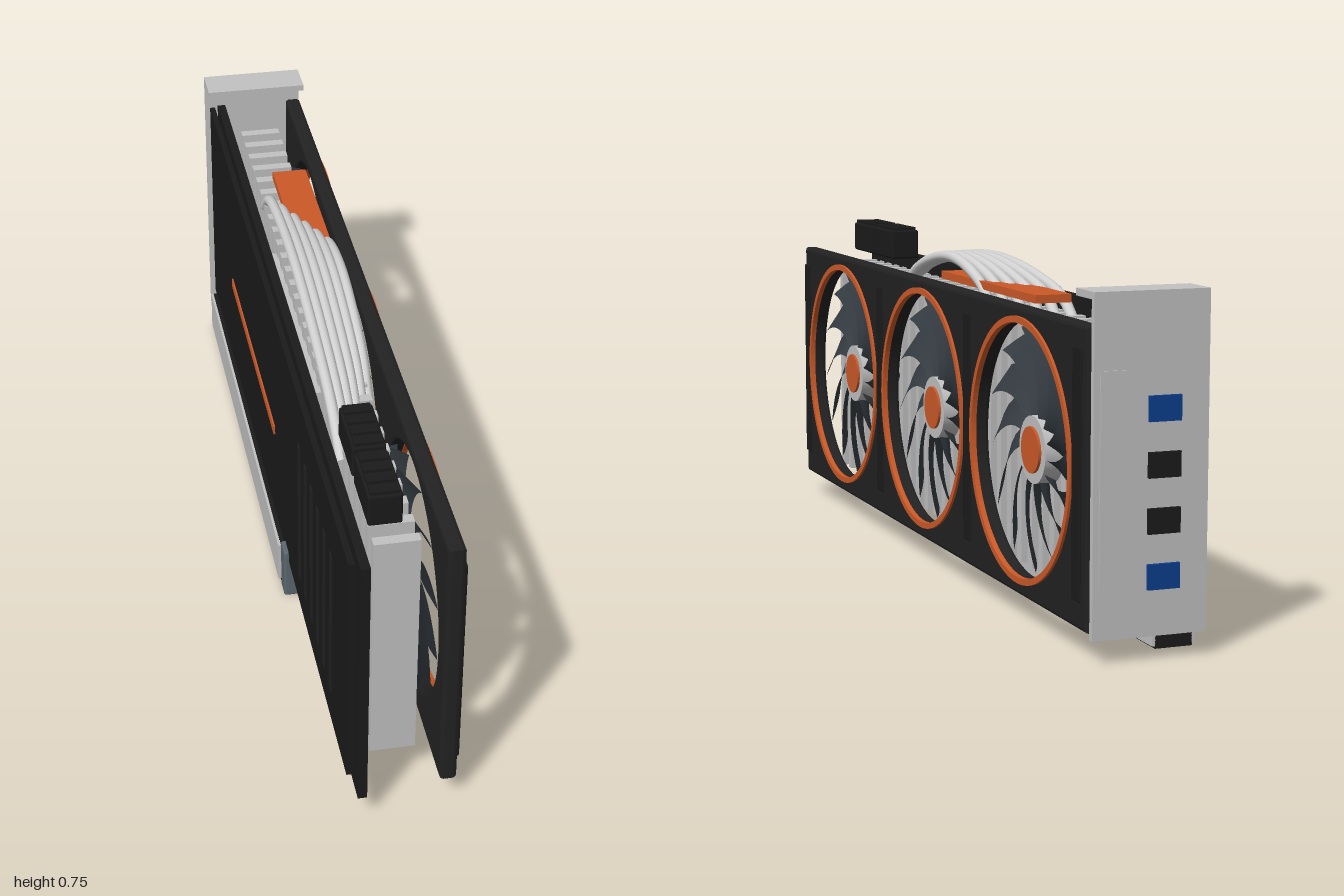
import * as THREE from 'three';
import { RoundedBoxGeometry } from 'three/addons/geometries/RoundedBoxGeometry.js';

const mat = (name, color, extra = {}) => {
  const m = new THREE.MeshStandardMaterial({ color, ...extra });
  m.name = name;
  return m;
};

export function createModel() {
  const M = {
    black: mat('black', 0x1b1b1b),
    shroud: mat('shroudBlack', 0x222222),
    metal: mat('metal', 0xc2c2c2),
    pipe: mat('pipeMetal', 0xd2d2d2),
    orange: mat('orange', 0xcc5a28),
    slate: mat('fanSlate', 0x353c42, { side: THREE.DoubleSide }),
    latch: mat('latchGrey', 0x5b6770),
    blue: mat('portBlue', 0x0c3f8f),
  };
  const root = new THREE.Group();
  root.name = 'graphicsCard';

  const add = (name, geo, material, parent = root) => {
    const mesh = new THREE.Mesh(geo, material);
    mesh.name = name;
    parent.add(mesh);
    return mesh;
  };
  // Box given by its lower and upper bounds on each axis
  const box = (name, material, [x0, x1], [y0, y1], [z0, z1], radius = 0) => {
    const s = [x1 - x0, y1 - y0, z1 - z0];
    const geo = radius ? new RoundedBoxGeometry(...s, 2, radius) : new THREE.BoxGeometry(...s);
    const mesh = add(name, geo, material);
    mesh.position.set((x0 + x1) / 2, (y0 + y1) / 2, (z0 + z1) / 2);
    return mesh;
  };

  const fanY = 0.37;
  const fanZ = [0.64, 0.02, -0.6];

  // Fan shroud: a plate with three round holes, extruded along x
  const plate = new THREE.Shape();
  const b = 0.008;
  plate.moveTo(-0.975 + b, 0.057 + b);
  plate.lineTo(0.96 - b, 0.057 + b);
  plate.lineTo(0.96 - b, 0.675 - b);
  plate.lineTo(-0.975 + b, 0.675 - b);
  plate.closePath();
  for (const z of fanZ) {
    const hole = new THREE.Path();
    hole.absarc(-z, fanY, 0.282, 0, Math.PI * 2, true);
    plate.holes.push(hole);
  }
  const shroudGeo = new THREE.ExtrudeGeometry(plate, {
    depth: 0.038 - 2 * b, bevelEnabled: true, bevelSize: b, bevelThickness: b, bevelSegments: 2, curveSegments: 48,
  });
  shroudGeo.rotateY(Math.PI / 2);
  add('shroud', shroudGeo, M.shroud).position.x = 0.086 + b;

  // Raised bars between the fans and at the ends
  for (const z of [0.95, 0.33, -0.29, -0.91])
    box('shroudBar', M.black, [0.1, 0.128], [0.115, 0.63], [z - 0.022, z + 0.022], 0.004);

  // Swept, pitched fan blade as a grid over radius and chord
  const bladeGeometry = () => {
    const nr = 8, nc = 4, pos = [], idx = [];
    for (let i = 0; i <= nr; i++) {
      const t = i / nr, r = 0.065 + 0.2 * t;
      const sweep = 0.62 * Math.pow(t, 1.4);
      const width = 0.36 + 0.1 * Math.sin(Math.PI * t) - 0.06 * t;
      for (let j = 0; j <= nc; j++) {
        const c = j / nc, a = sweep + (c - 0.5) * width;
        pos.push(0.056 + 0.034 * Math.pow(c, 1.2), r * Math.cos(a), r * Math.sin(a));
        if (i < nr && j < nc) {
          const p = i * (nc + 1) + j, q = p + nc + 1;
          idx.push(p, q, p + 1, p + 1, q, q + 1);
        }
      }
    }
    const g = new THREE.BufferGeometry();
    g.setAttribute('position', new THREE.Float32BufferAttribute(pos, 3));
    g.setIndex(idx);
    g.computeVertexNormals();
    return g;
  };
  const blade = bladeGeometry();
  const disc = (r, x0, x1) =>
    new THREE.CylinderGeometry(r, r, x1 - x0, 40).rotateZ(-Math.PI / 2).translate((x0 + x1) / 2, 0, 0);

  // Flat accent ring around each fan opening
  const ringShape = new THREE.Shape().absarc(0, 0, 0.286, 0, Math.PI * 2);
  ringShape.holes.push(new THREE.Path().absarc(0, 0, 0.272, 0, Math.PI * 2, true));
  const ringGeo = new THREE.ExtrudeGeometry(ringShape, { depth: 0.012, bevelEnabled: false, curveSegments: 48 })
    .rotateY(Math.PI / 2).translate(0.118, 0, 0);

  for (const z of fanZ) {
    const fan = new THREE.Group();
    fan.name = 'fan';
    fan.position.set(0, fanY, z);
    root.add(fan);
    add('accentRing', ringGeo, M.orange, fan);
    add('hub', disc(0.073, 0.052, 0.094), M.metal, fan);
    add('hubCap', disc(0.05, 0.09, 0.1), M.orange, fan);
    for (let i = 0; i < 13; i++) add('blade', blade, M.slate, fan).rotation.x = (i / 13) * Math.PI * 2;
  }

  // Heat sink fins and base plate
  for (let i = 0; i < 29; i++) {
    const z = -0.85 + i * 0.0618;
    box('fin', M.metal, [-0.048, 0.05], [0.085, 0.645], [z - 0.0125, z + 0.0125]);
  }
  box('basePlate', M.metal, [-0.058, -0.046], [0.275, 0.61], [-0.3, 0.3]);

  // Heat pipes arching along the top
  for (let i = 0; i < 6; i++) {
    const x = -0.043 + i * 0.02, z0 = -0.52 + i * 0.05, z1 = 0.57 - i * 0.045;
    const at = (t, y, dx = 0) => new THREE.Vector3(x + dx, y, z0 + (z1 - z0) * t);
    const curve = new THREE.CatmullRomCurve3([
      at(0, 0.615, 0.004), at(0.06, 0.67, 0.004), at(0.2, 0.707, 0.003), at(0.42, 0.729),
      at(0.65, 0.715, -0.003), at(0.88, 0.672, -0.006), at(1, 0.615, -0.008),
    ]);
    add('heatPipe', new THREE.TubeGeometry(curve, 32, 0.0125, 10), M.pipe);
  }
  box('accentPlate', M.orange, [-0.015, 0.068], [0.675, 0.693], [-0.55, 0.035]);

  // Circuit board and back plate
  box('circuitBoard', M.black, [-0.095, -0.075], [0.057, 0.675], [-0.96, 1]);
  box('backPlate', M.black, [-0.115, -0.102], [0.105, 0.67], [-0.96, 0.975]);
  box('backStripe', M.orange, [-0.119, -0.114], [0.345, 0.367], [-0.59, 0.075]);
  for (let i = 0; i < 6; i++) {
    const z = 0.41 + i * 0.076;
    box('backVent', M.shroud, [-0.117, -0.114], [0.185, 0.55], [z - 0.012, z + 0.012]);
  }

  // Power connectors with notched tops
  for (const z of [0.795, 0.628]) {
    box('powerConnector', M.black, [-0.056, 0.016], [0.675, 0.748], [z - 0.075, z + 0.075], 0.005);
    for (let i = 0; i < 4; i++) {
      const c = z + (i - 1.5) * 0.037;
      box('connectorRib', M.black, [-0.05, 0.01], [0.74, 0.755], [c - 0.014, c + 0.014]);
    }
  }

  // Edge slot with metal sides and a latch
  box('slot', M.black, [-0.125, -0.042], [0.005, 0.11], [-0.93, 0.2]);
  box('slotSide', M.metal, [-0.131, -0.124], [0.01, 0.11], [-0.93, 0.2]);
  box('slotSide', M.metal, [-0.043, -0.036], [0.01, 0.11], [-0.93, 0.2]);
  box('slotLatch', M.latch, [-0.126, -0.04], [0, 0.13], [0.205, 0.255], 0.006);

  // Mounting bracket with bent lip, raised panel and ports
  box('bracket', M.metal, [-0.125, 0.125], [0.05, 0.745], [-0.992, -0.978]);
  box('bracketLip', M.metal, [-0.125, 0.125], [0.73, 0.745], [-0.992, -0.9]);
  box('bracketPanel', M.metal, [0.045, 0.112], [0.16, 0.59], [-0.995, -0.991]);
  [M.blue, M.black, M.black, M.blue].forEach((m, i) => {
    const y = 0.172 + i * 0.113;
    box('port', m, [-0.062, 0.008], [y - 0.026, y + 0.026], [-1, -0.991]);
  });

  return root;
}
